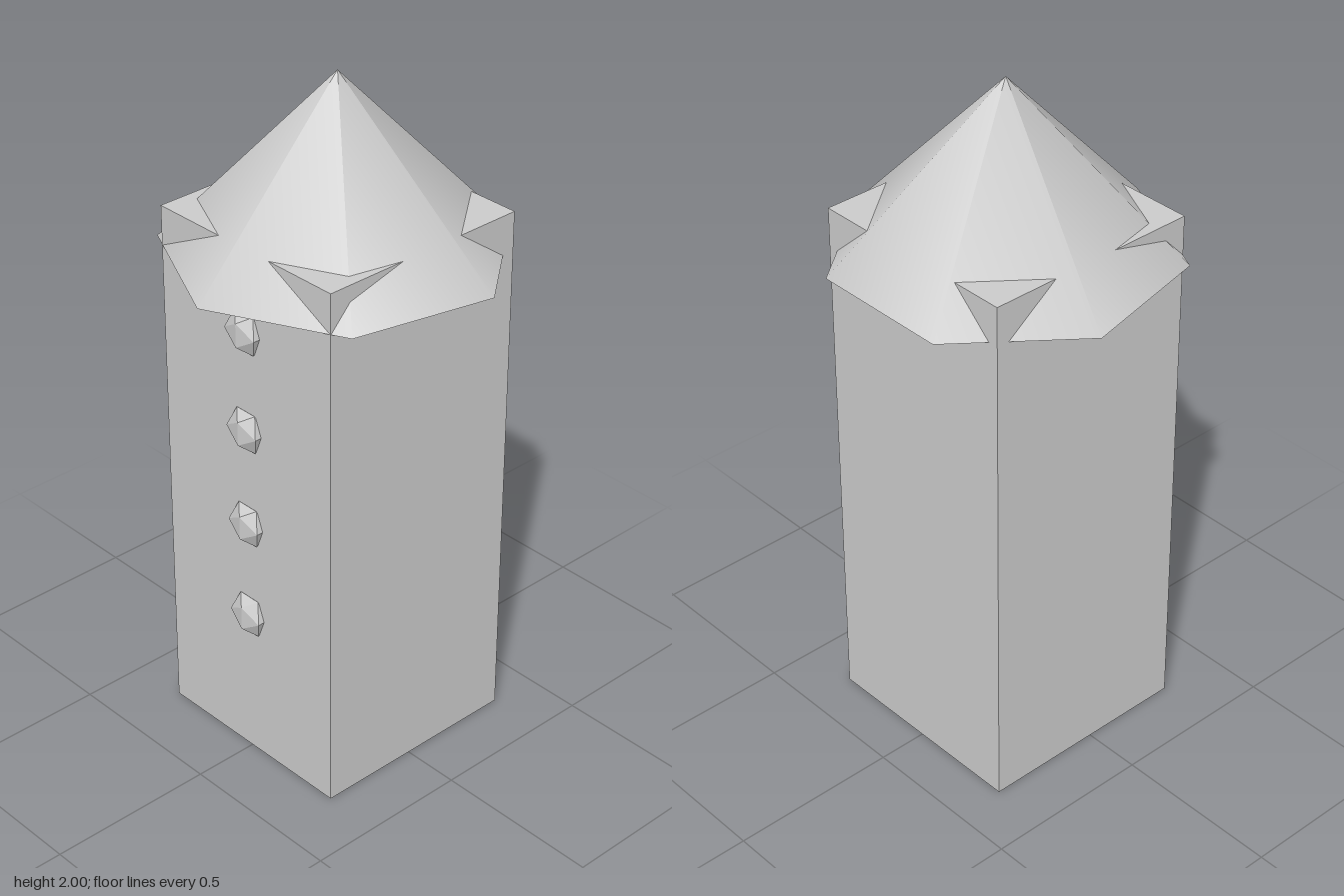
import * as THREE from 'three';

export function createModel() {
  const model = new THREE.Group();
  const smooth = new THREE.MeshStandardMaterial({ color: 0xcccccc });
  const faceted = new THREE.MeshStandardMaterial({ color: 0xcccccc, flatShading: true });
  const axisZ = -0.025;
  const width = 0.656;
  const height = 1.605;

  function add(name, geometry, material, x, y, z) {
    const mesh = new THREE.Mesh(geometry, material);
    mesh.name = name;
    mesh.position.set(x, y, z);
    model.add(mesh);
    return mesh;
  }

  // Square tower body, its corners poking through the roof
  add('towerBody', new THREE.BoxGeometry(width, height, width), smooth, 0, height / 2, axisZ);

  // Seven-sided roof with one corner to the front
  const roofBase = 1.488;
  const roofHeight = 2 - roofBase;
  add('roof', new THREE.ConeGeometry(0.485, roofHeight, 7), smooth, 0, roofBase + roofHeight / 2, axisZ);

  // Column of flattened studs on the front face
  const studGeometry = new THREE.IcosahedronGeometry(0.068, 0).scale(1, 1, 0.52);
  for (let i = 0; i < 4; i++) {
    add('stud' + (i + 1), studGeometry, faceted, 0, 0.46 + i * 0.3, axisZ + width / 2 + 0.002);
  }

  return model;
}
